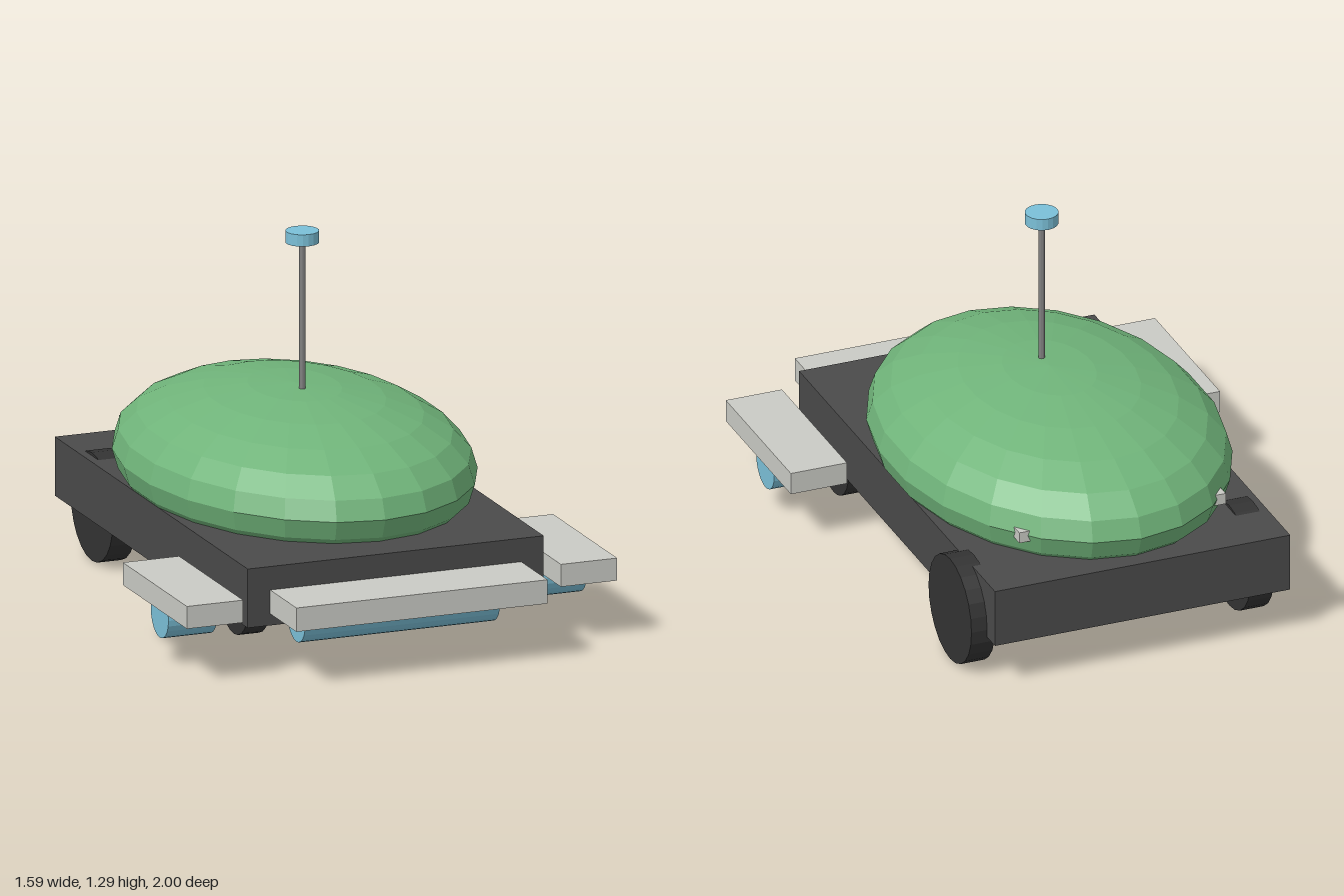
import * as THREE from 'three';

const mat = (color) => new THREE.MeshStandardMaterial({ color, flatShading: true });

export function createModel() {
  const model = new THREE.Group();
  const dark = mat(0x4a4a4a), tyre = mat(0x333333), pale = mat(0xcacbc5);
  const blue = mat(0x7bc0d8), green = mat(0x70b47a), steel = mat(0x808080);

  const add = (name, geometry, material, x, y, z) => {
    const mesh = new THREE.Mesh(geometry, material);
    mesh.name = name;
    mesh.position.set(x, y, z);
    model.add(mesh);
    return mesh;
  };
  const box = (name, material, w, h, d, x, y, z) =>
    add(name, new THREE.BoxGeometry(w, h, d), material, x, y, z);
  // cylinder lying along x
  const roller = (name, material, r, w, x, y, z) =>
    add(name, new THREE.CylinderGeometry(r, r, w, 24).rotateZ(Math.PI / 2), material, x, y, z);

  // chassis slab
  box('chassis', dark, 1.094, 0.21, 1.76, 0, 0.27, -0.12);

  // faceted ellipsoid shell, sunk into the chassis
  const shell = new THREE.SphereGeometry(1, 22, 12).rotateY(Math.PI / 2).scale(0.59, 0.27, 0.828);
  add('domeShell', shell, green, 0, 0.465, -0.162);

  // rear light bar, its ends peeking out of the shell
  box('rearLightBar', pale, 0.765, 0.04, 0.05, 0, 0.462, -0.795);

  // wheels: the left pair sits further out than the right pair
  roller('rearWheelLeft', tyre, 0.193, 0.088, 0.561, 0.193, -0.737);
  roller('rearWheelRight', tyre, 0.193, 0.088, -0.473, 0.193, -0.737);
  roller('frontWheelLeft', tyre, 0.135, 0.08, 0.505, 0.19, 0.455);
  roller('frontWheelRight', tyre, 0.135, 0.08, -0.435, 0.19, 0.455);

  // front deck and its roller brush
  box('frontDeck', pale, 0.928, 0.085, 0.24, 0, 0.249, 0.88);
  roller('frontBrush', blue, 0.081, 0.72, 0, 0.172, 0.742);

  // outrigger decks with their brushes
  for (const [side, s] of [['Left', 1], ['Right', -1]]) {
    box('sideDeck' + side, pale, 0.208, 0.08, 0.585, s * 0.691, 0.244, 0.525);
    roller('sideBrush' + side, blue, 0.08, 0.18, s * 0.683, 0.17, 0.515);
  }

  // mast with disc on top
  add('mast', new THREE.CylinderGeometry(0.011, 0.011, 0.56, 12), steel, 0, 0.98, -0.093);
  add('mastDisc', new THREE.CylinderGeometry(0.058, 0.058, 0.042, 18), blue, 0, 1.274, -0.093);

  return model;
}
